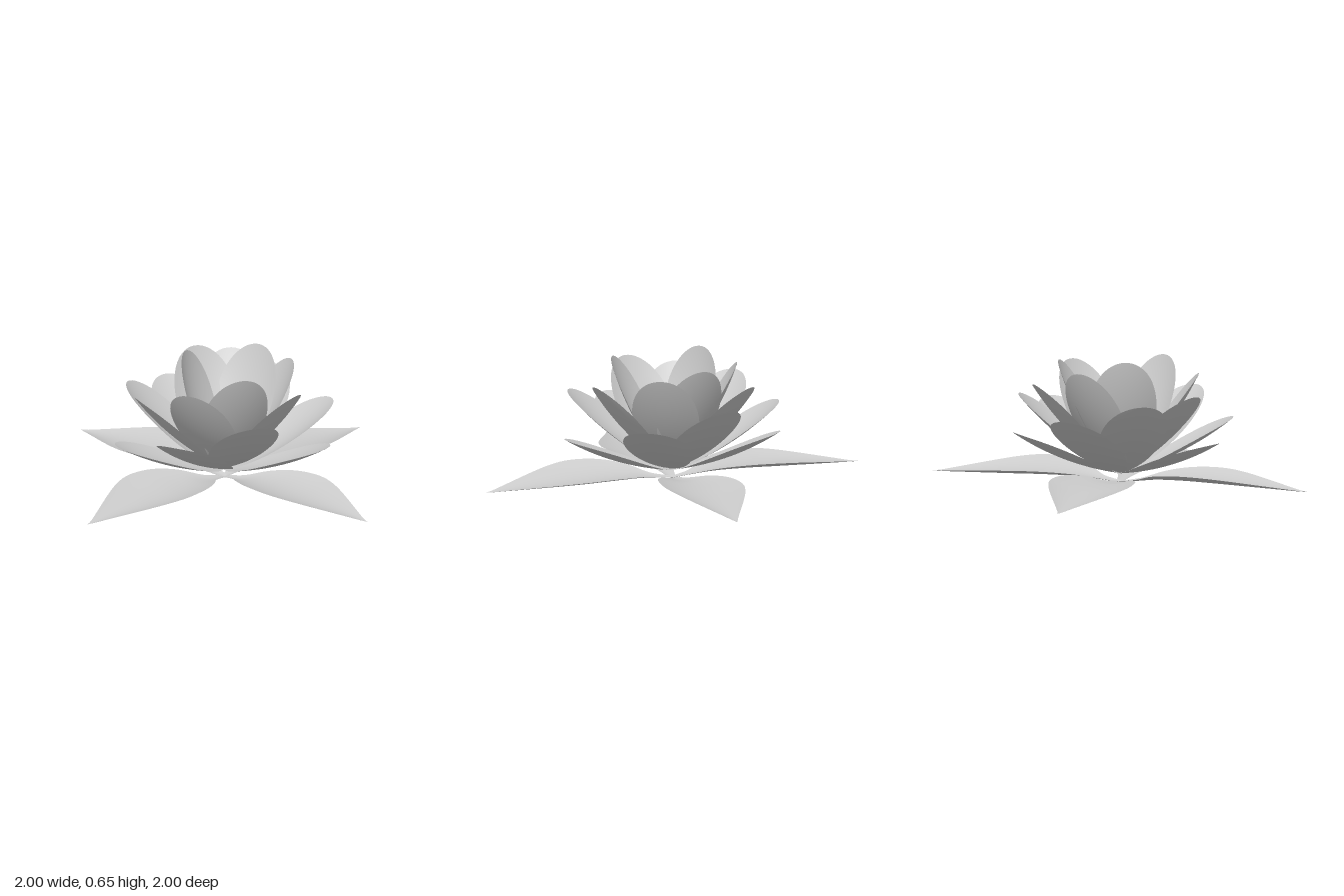
import * as THREE from 'three';

const material = new THREE.MeshStandardMaterial({ color: 0xcccccc, side: THREE.DoubleSide });

// Smooth sheet: point(t, s) with t along the length and s across, -1..1
function sheet(point, rows, cols) {
  const positions = [], index = [];
  for (let i = 0; i <= rows; i++) {
    for (let j = 0; j <= cols; j++) {
      positions.push(...point(i / rows, (j / cols) * 2 - 1).toArray());
      if (i < rows && j < cols) {
        const a = i * (cols + 1) + j, b = a + cols + 1;
        index.push(a, a + 1, b, b, a + 1, b + 1);
      }
    }
  }
  const geometry = new THREE.BufferGeometry();
  geometry.setAttribute('position', new THREE.Float32BufferAttribute(positions, 3));
  geometry.setIndex(index);
  geometry.computeVertexNormals();
  return geometry;
}

// Shallow cupped petal running from the heart of the flower to its tip
function petalGeometry(tip) {
  const base = new THREE.Vector3(0, 0.05, 0);
  const along = tip.clone().sub(base);
  const length = along.length();
  along.normalize();
  const across = new THREE.Vector3(along.z, 0, -along.x).normalize();
  const inward = new THREE.Vector3().crossVectors(along, across);
  return sheet((v, s) => {
    const t = (1 - Math.cos(Math.PI * v)) / 2;
    const w = Math.pow(t, 0.7) * Math.sqrt(Math.max(0, 1 - t)) / 0.442;
    return base.clone()
      .addScaledVector(along, length * t)
      .addScaledVector(across, 0.17 * w * s)
      .addScaledVector(inward, 0.035 * w * w * s * s - 0.14 * t * (1 - t));
  }, 28, 12);
}

// Leaf outline: distance from centre, half width, height of the midrib
const leafCurve = new THREE.CatmullRomCurve3([
  [0, 0.02, 0.003], [0.1, 0.045, 0.015], [0.2, 0.125, 0.028], [0.3, 0.18, 0.032],
  [0.4, 0.205, 0.032], [0.5, 0.208, 0.029], [0.6, 0.182, 0.025], [0.7, 0.14, 0.02],
  [0.8, 0.092, 0.015], [0.9, 0.043, 0.01], [0.96, 0.015, 0.007], [1, 0, 0.007],
].map((p) => new THREE.Vector3(...p)));

// Trough-shaped leaf, rolled slightly to one side
function leafGeometry() {
  return sheet((t, s) => {
    const p = leafCurve.getPoint(t);
    const y = p.z + p.y * (0.22 * s * s + 0.04 * s);
    return new THREE.Vector3(p.x, y, p.y * s);
  }, 44, 12);
}

// Petal tips, three to a ring, from the outermost ring to the innermost
const rings = [
  [[0.6, 0.27, -0.12], [-0.2, 0.26, 0.57], [-0.42, 0.3, -0.42]],
  [[0.16, 0.34, 0.55], [-0.53, 0.39, -0.12], [0.3, 0.37, -0.48]],
  [[0.47, 0.44, 0.25], [-0.43, 0.47, 0.26], [-0.12, 0.45, -0.5]],
  [[0.43, 0.52, -0.07], [-0.18, 0.49, 0.45], [-0.29, 0.53, -0.36]],
  [[0.12, 0.56, 0.38], [-0.31, 0.6, -0.11], [0.17, 0.59, -0.32]],
  [[0.27, 0.62, 0.15], [-0.19, 0.65, 0.09], [-0.05, 0.62, -0.31]],
];

export function createModel() {
  const model = new THREE.Group();
  model.name = 'waterLily';

  const flower = new THREE.Group();
  flower.name = 'flower';
  rings.forEach((tips, r) => {
    const ring = new THREE.Group();
    ring.name = `petalRing${r + 1}`;
    for (const tip of tips) {
      const petal = new THREE.Mesh(petalGeometry(new THREE.Vector3(...tip)), material);
      petal.name = 'petal';
      ring.add(petal);
    }
    flower.add(ring);
  });

  // Four leaves in a cross
  const leaves = new THREE.Group();
  leaves.name = 'leaves';
  const geometry = leafGeometry();
  for (let i = 0; i < 4; i++) {
    const leaf = new THREE.Mesh(geometry, material);
    leaf.name = 'leaf';
    leaf.rotation.y = i * Math.PI / 2;
    leaves.add(leaf);
  }

  model.add(flower, leaves);
  return model;
}
